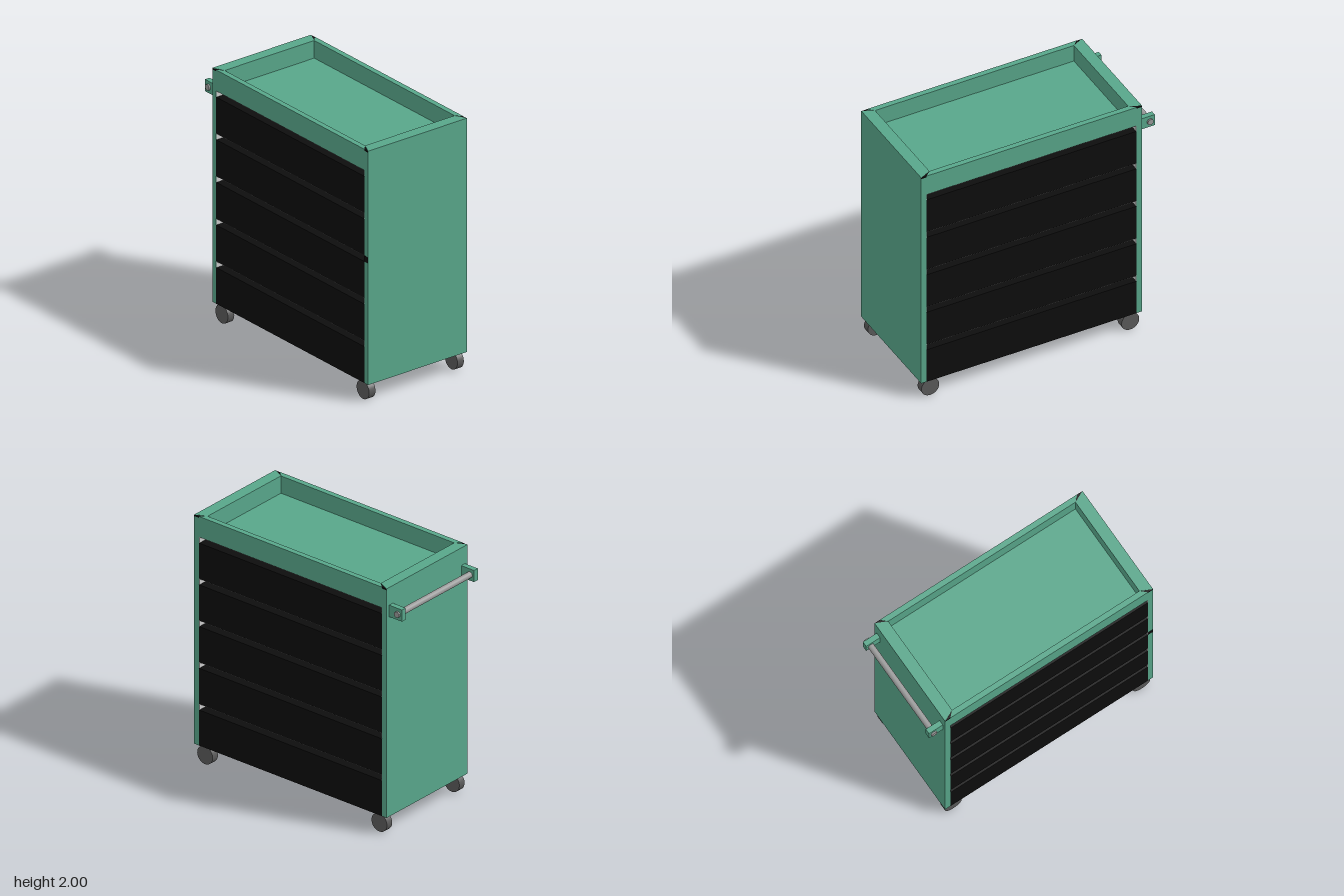
import * as THREE from 'three';

const mat = (color, side = THREE.FrontSide) => new THREE.MeshStandardMaterial({ color, side });

export function createModel() {
  const root = new THREE.Group();
  const green = mat(0x58a68a), black = mat(0x0d0d0d), white = mat(0xffffff);
  const steel = mat(0x999999), rubber = mat(0x595959);

  // cabinet extents: outer shell, inner bay, tray opening
  const xL = -0.845, xR = 0.96, yB = 0.145, yT = 2, zH = 0.453, t = 0.045;
  const inL = xL + t, inR = xR - t, lip = 0.09, zI = 0.41;
  const ceiling = 1.835, trayFloor = 1.86;

  const add = (name, geometry, material, x = 0, y = 0, z = 0) => {
    const m = new THREE.Mesh(geometry, material);
    m.name = name;
    m.position.set(x, y, z);
    root.add(m);
    return m;
  };
  // box from its minimum and maximum corners
  const box = (name, material, x0, x1, y0, y1, z0, z1) =>
    add(name, new THREE.BoxGeometry(x1 - x0, y1 - y0, z1 - z0), material,
      (x0 + x1) / 2, (y0 + y1) / 2, (z0 + z1) / 2);
  // plan outline in [x, z], raised from y0 to y1
  const slab = (name, material, pts, y0, y1) => {
    const shape = new THREE.Shape(pts.map(([x, z]) => new THREE.Vector2(x, -z)));
    const g = new THREE.ExtrudeGeometry(shape, { depth: y1 - y0, bevelEnabled: false });
    g.rotateX(-Math.PI / 2);
    return add(name, g, material, 0, y0, 0);
  };

  // side panels, up to the tray
  box('rightSidePanel', green, xL, inL, yB, trayFloor, -zH, zH);
  box('leftSidePanel', green, inR, xR, yB, trayFloor, -zH, zH);

  // tray floor
  box('trayFloor', green, inL, inR, ceiling, trayFloor, -zH, zH);

  // tray rim: side lips run into the corners, front and back lips are mitred
  slab('rightTrayLip', green, [[xL, -zH], [xL, zH], [xL + lip, zI], [xL + lip, -zI]], trayFloor, yT);
  slab('leftTrayLip', green, [[xR, -zH], [xR, zH], [xR - lip, zI], [xR - lip, -zI]], trayFloor, yT);
  for (const s of [1, -1]) {
    const end = s > 0 ? 'front' : 'back';
    slab(end + 'TrayLip', green,
      [[inL, s * zH], [inR, s * zH], [inR - t, s * zI], [inL + t, s * zI]], trayFloor, yT);
    // closing strips beside the lip, and the dark mitre gaps on top
    for (const [xo, xi, xc] of [[xL, inL, xL + lip], [xR, inR, xR - lip]]) {
      const corner = [[xo, s * zH], [xi, s * zH], [xc, s * zI]];
      slab('mitreGap', black, corner, yT - 0.012, yT - 0.002);
      slab('cornerFill', green, corner, trayFloor, yT - 0.012);
    }
  }

  // drawers, with a pale-lined slot above each
  const pitch = (ceiling - yB) / 5, gap = 0.05, skin = 0.003;
  for (let i = 0; i < 5; i++) {
    const y0 = yB + i * pitch, y1 = y0 + pitch - gap, y2 = y0 + pitch;
    box('drawer', black, inL, inR, y0, y1, -zH, zH);
    box('slotCeiling', white, inL, inR, y2 - skin, y2, -zH + 0.001, zH - 0.001);
    box('slotDivider', white, inL, inR, y1, y2 - skin, -0.01, 0.01);
    box('slotLiner', white, inL, inL + skin, y1, y2 - skin, -zH + 0.001, zH - 0.001);
    box('slotLiner', white, inR - skin, inR, y1, y2 - skin, -zH + 0.001, zH - 0.001);
  }

  // lock on the front edge of the left panel
  box('lock', black, inR, xR - 0.001, 1.11, 1.157, zH - 0.02, zH + 0.002);

  // push handle
  for (const s of [1, -1]) {
    const z = s * 0.403;
    box('handleBracket', green, -0.965, xL, 1.763, 1.857, z - 0.021, z + 0.021);
  }
  const rod = add('handleRod', new THREE.CylinderGeometry(0.024, 0.024, 0.874, 32), steel, -0.925, 1.81, 0);
  rod.rotation.x = Math.PI / 2;

  // wheels
  for (const x of [-0.76, 0.875]) {
    for (const z of [-0.405, 0.405]) {
      const wheel = add('wheel', new THREE.CylinderGeometry(0.0725, 0.0725, 0.058, 40), rubber, x, 0.0725, z);
      wheel.rotation.x = Math.PI / 2;
    }
  }
  return root;
}
